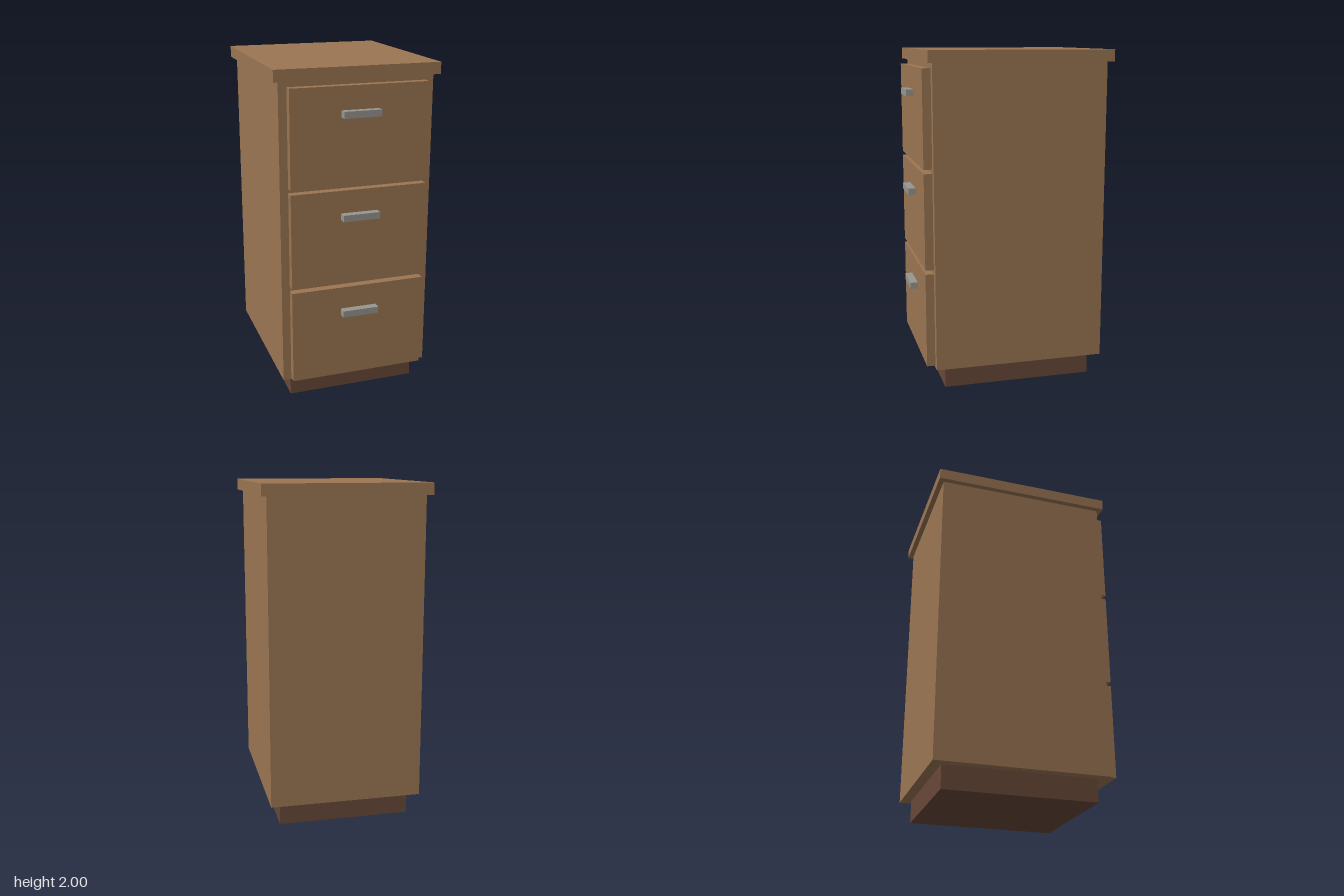
import * as THREE from 'three';

export function createModel() {
  const cabinet = new THREE.Group();
  cabinet.name = 'drawerCabinet';

  const material = (name, color) => {
    const m = new THREE.MeshStandardMaterial({ color });
    m.name = name;
    return m;
  };
  const wood = material('wood', 0x9b7653);
  const darkWood = material('darkWood', 0x684838);
  const metal = material('metal', 0x98968f);

  // Box centred on x, given its width and its y and z extents
  const box = (name, mat, width, y0, y1, z0, z1, parent = cabinet) => {
    const mesh = new THREE.Mesh(new THREE.BoxGeometry(width, y1 - y0, z1 - z0), mat);
    mesh.position.set(0, (y0 + y1) / 2, (z0 + z1) / 2);
    mesh.name = name;
    parent.add(mesh);
  };

  // Recessed plinth, carcass and overhanging top
  box('plinth', darkWood, 0.788, 0, 0.137, -0.485, 0.421);
  box('carcass', wood, 0.908, 0.137, 1.932, -0.546, 0.482);
  box('worktop', wood, 0.972, 1.932, 2, -0.577, 0.511);

  // Three equal drawers, each with a bar handle near its top edge
  for (let i = 0; i < 3; i++) {
    const drawer = new THREE.Group();
    drawer.name = `drawer${i + 1}`;
    drawer.position.y = 0.149 + i * 0.592;
    box('drawerFront', wood, 0.812, 0, 0.567, 0.482, 0.532, drawer);
    box('handle', metal, 0.22, 0.394, 0.433, 0.532, 0.577, drawer);
    cabinet.add(drawer);
  }

  return cabinet;
}
